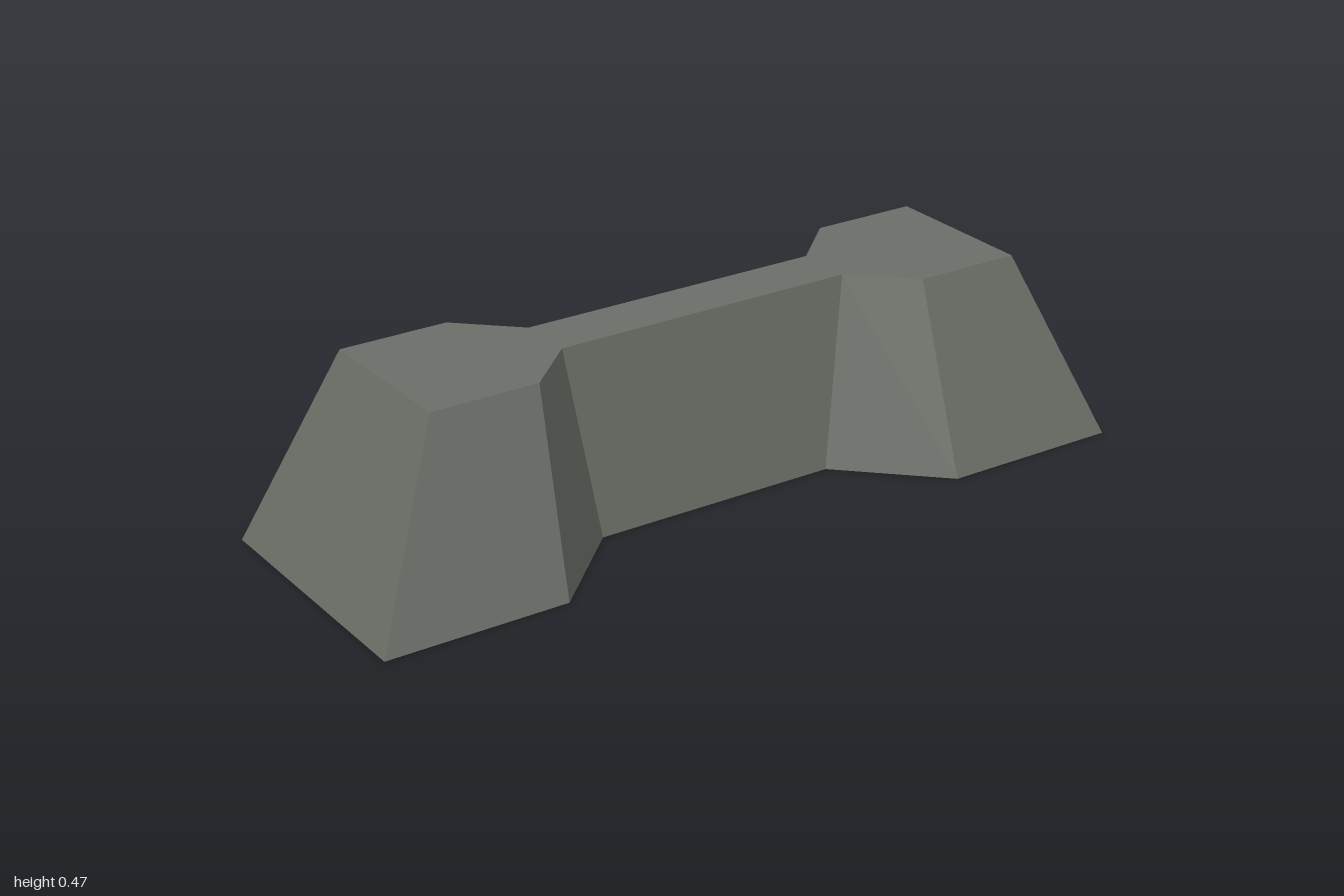
import * as THREE from 'three';

// Mirrors a quarter outline [x, z] into the full 12-point ring at height y
function ring(quarter, y) {
  const half = [...quarter, ...quarter.map(([x, z]) => [-x, z]).reverse()];
  const full = [...half, ...half.map(([x, z]) => [-x, -z])];
  return full.map(([x, z]) => [x, y, z]);
}

export function createModel() {
  const group = new THREE.Group();
  group.name = 'barrier';

  const concrete = new THREE.MeshStandardMaterial({ color: 0x6b7169 });
  concrete.name = 'grey green concrete';

  // Dumbbell footprint and the smaller matching top
  const base = ring([[1, 0.336], [0.543, 0.336], [0.316, 0.117]], 0);
  const top = ring([[0.795, 0.201], [0.525, 0.201], [0.387, 0.071]], 0.47);

  const positions = [];
  const quad = (a, b, c, d) => positions.push(...a, ...b, ...c, ...a, ...c, ...d);

  // Sloping walls
  const n = base.length;
  for (let i = 0; i < n; i++) {
    const j = (i + 1) % n;
    quad(base[i], top[i], top[j], base[j]);
  }
  // Flat underside and top, as strips across the width
  for (let i = 0; i < n / 2 - 1; i++) {
    const a = n - 1 - i, b = n - 2 - i;
    quad(base[i], base[i + 1], base[b], base[a]);
    quad(top[a], top[b], top[i + 1], top[i]);
  }

  const geometry = new THREE.BufferGeometry();
  geometry.setAttribute('position', new THREE.Float32BufferAttribute(positions, 3));
  geometry.computeVertexNormals();

  const body = new THREE.Mesh(geometry, concrete);
  body.name = 'barrierBody';
  group.add(body);
  return group;
}
